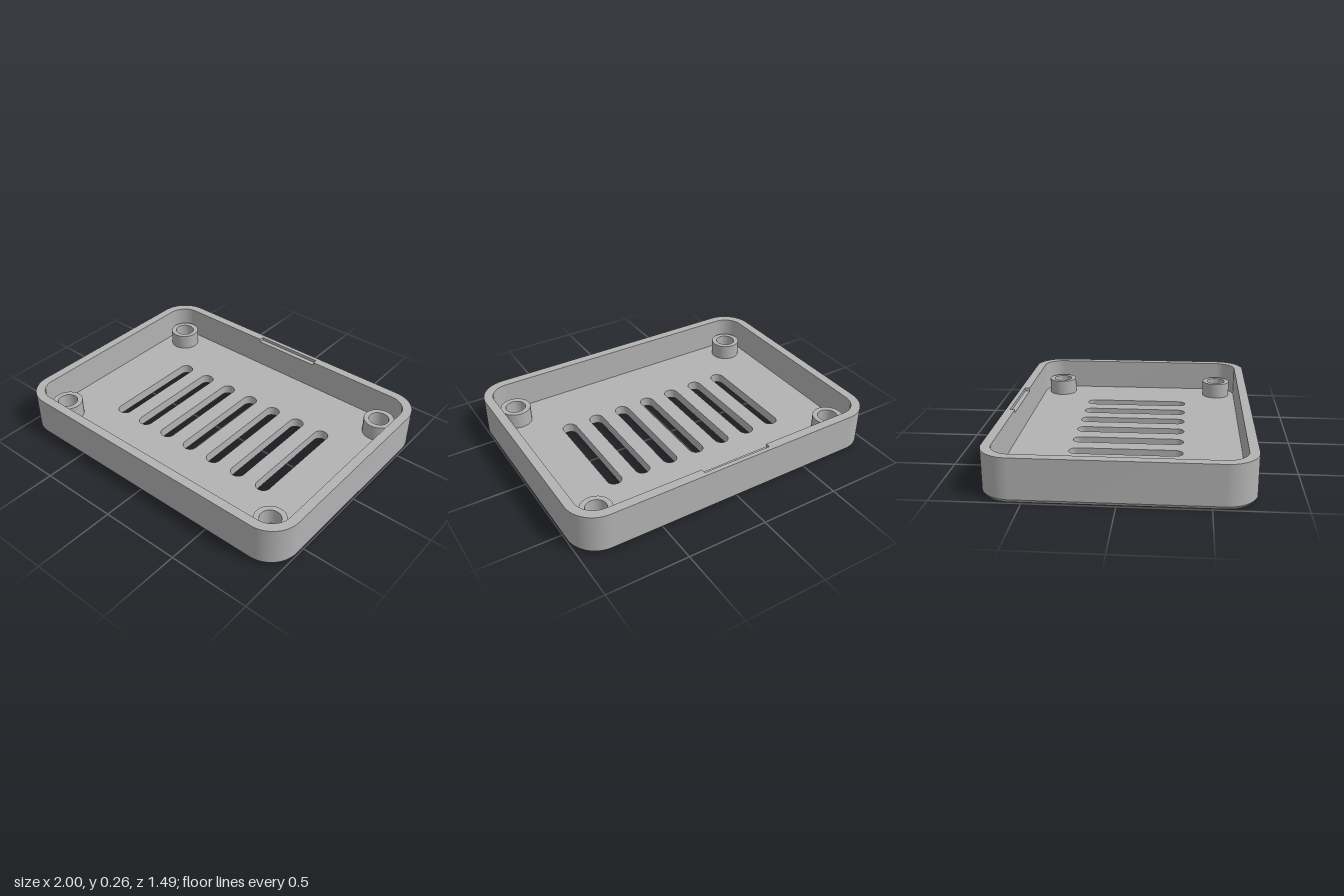
import * as THREE from 'three';
import { toCreasedNormals } from 'three/addons/utils/BufferGeometryUtils.js';

const W = 1, D = 0.745, H = 0.256;       // half width, half depth, height
const CORNER = 0.18, WALL = 0.056;       // outer corner radius, wall thickness
const FLOOR = 0.06, CHAMFER = 0.016;     // floor thickness, bottom chamfer
const NOTCH = { half: 0.223, deep: 0.03, high: 0.02 };

// Rounded rectangle inset from the outer outline, with an optional notch at the back
function outline(path, inset, notched = false) {
  const w = W - inset, d = D - inset, r = CORNER - inset;
  path.moveTo(w, -d + r);
  path.lineTo(w, d - r);
  path.absarc(w - r, d - r, r, 0, Math.PI / 2);
  if (notched) {
    path.lineTo(NOTCH.half, d);
    path.lineTo(NOTCH.half, d + NOTCH.deep);
    path.lineTo(-NOTCH.half, d + NOTCH.deep);
    path.lineTo(-NOTCH.half, d);
  }
  path.lineTo(-w + r, d);
  path.absarc(-w + r, d - r, r, Math.PI / 2, Math.PI);
  path.lineTo(-w, -d + r);
  path.absarc(-w + r, -d + r, r, Math.PI, Math.PI * 1.5);
  path.lineTo(w - r, -d);
  path.absarc(w - r, -d + r, r, Math.PI * 1.5, Math.PI * 2);
  return path;
}

// Round-ended ventilation slot
function slot(x, r, half) {
  const path = new THREE.Path();
  path.absarc(x, half - r, r, 0, Math.PI);
  path.absarc(x, -half + r, r, Math.PI, Math.PI * 2);
  path.closePath();
  return path;
}

// Flat slab between two heights
function slab(shape, y0, y1) {
  const g = new THREE.ExtrudeGeometry(shape, { depth: y1 - y0, bevelEnabled: false, curveSegments: 14 });
  g.rotateX(-Math.PI / 2).translate(0, y0, 0);
  return toCreasedNormals(g, 0.5);
}

// Skin joining outlines given as [inset, height]
function skin(sections) {
  const loops = sections.map(([inset, y]) =>
    outline(new THREE.Path(), inset).getPoints(14).map(p => [p.x, y, -p.y]));
  const pos = [];
  for (let k = 0; k + 1 < loops.length; k++) {
    const a = loops[k], b = loops[k + 1];
    for (let i = 0; i < a.length; i++) {
      const j = (i + 1) % a.length;
      pos.push(...a[i], ...a[j], ...b[j], ...a[i], ...b[j], ...b[i]);
    }
  }
  const g = new THREE.BufferGeometry();
  g.setAttribute('position', new THREE.Float32BufferAttribute(pos, 3));
  return toCreasedNormals(g, 0.5);
}

export function createModel() {
  const group = new THREE.Group();
  group.name = 'enclosureTray';
  const grey = new THREE.MeshStandardMaterial({ color: 0xb2b2b2 });
  grey.name = 'grey plastic';
  const add = (name, geometry) => {
    const mesh = new THREE.Mesh(geometry, grey);
    mesh.name = name;
    group.add(mesh);
    return mesh;
  };

  // Floor with seven slots
  const floor = outline(new THREE.Shape(), CHAMFER);
  for (let i = -3; i <= 3; i++) floor.holes.push(slot(i * 0.189, 0.045, 0.34));
  add('slottedFloor', slab(floor, 0, FLOOR));

  // Walls, with the chamfer around the bottom
  const ledge = H - NOTCH.high;
  add('outerWall', skin([[CHAMFER, 0], [0, 0.02], [0, ledge]]));
  add('innerWall', skin([[WALL, ledge], [WALL, FLOOR]]));

  // Rim, with a shallow notch in the back wall
  const rim = outline(new THREE.Shape(), 0);
  rim.holes.push(outline(new THREE.Path(), WALL, true));
  add('rim', slab(rim, ledge, H));
  const notchFloor = add('notchFloor',
    new THREE.PlaneGeometry(NOTCH.half * 2, NOTCH.deep).rotateX(-Math.PI / 2));
  notchFloor.position.set(0, ledge, -D + WALL - NOTCH.deep / 2);

  // Hollow screw posts in the corners
  const profile = [[0.094, FLOOR], [0.094, 0.16], [0.062, 0.16], [0.062, FLOOR]]
    .map(([r, y]) => new THREE.Vector2(r, y));
  const post = toCreasedNormals(new THREE.LatheGeometry(profile, 40), 0.5);
  for (const x of [-1, 1]) {
    for (const z of [-1, 1]) {
      add('screwPost', post).position.set(x * 0.815, 0, z * 0.56);
    }
  }
  return group;
}
